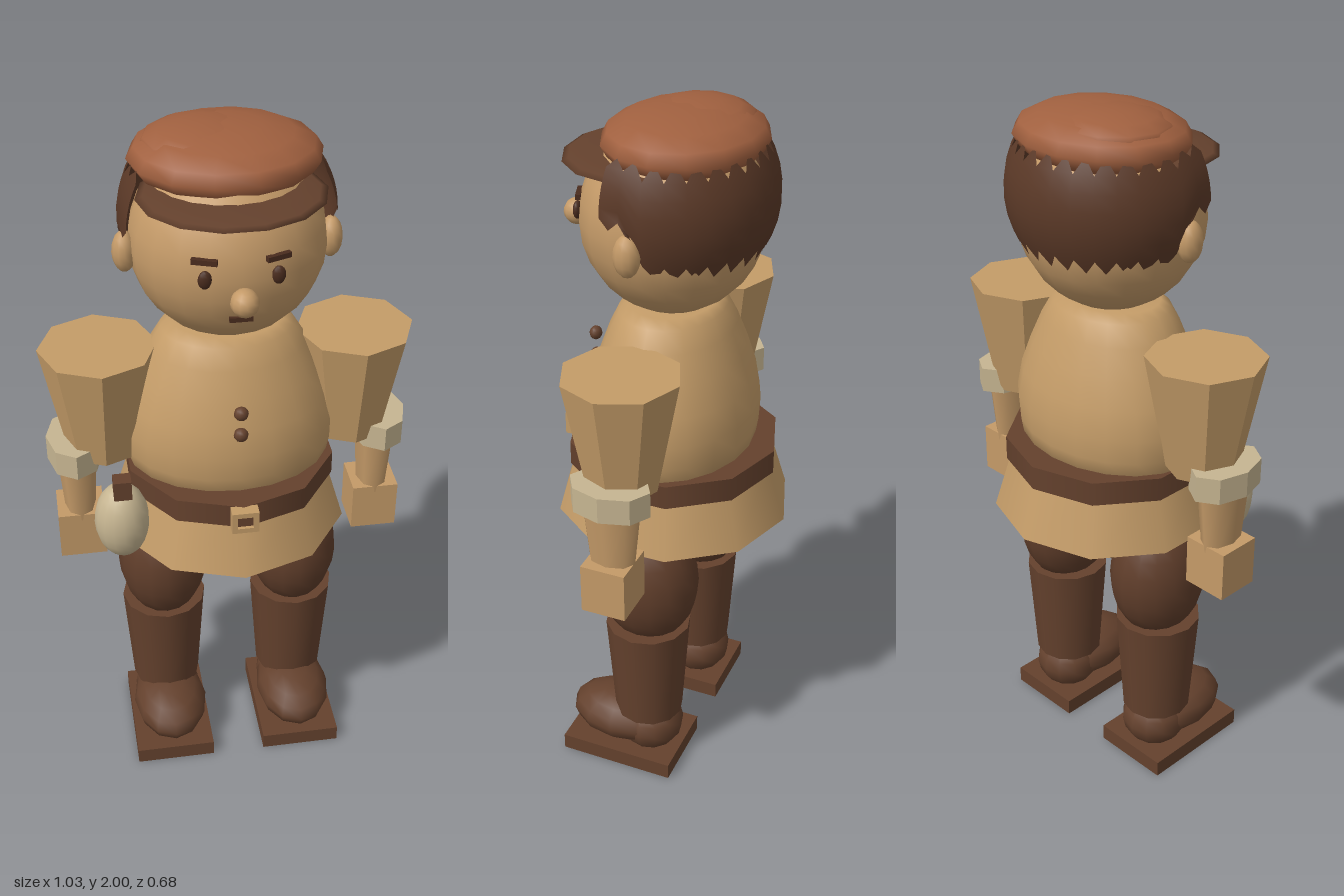
import * as THREE from 'three';

const mat = (name, color) => Object.assign(new THREE.MeshStandardMaterial({ color }), { name });

export function createModel() {
  const tan = mat('tan cloth', 0xc49c68);
  const skin = mat('skin', 0xc49a68);
  const leather = mat('brown leather', 0x64412d);
  const trouser = mat('trouser brown', 0x5f3d2a);
  const hairMat = mat('hair brown', 0x5b3927);
  const rust = mat('cap rust', 0xa0603f);
  const linen = mat('pale linen', 0xc6b591);
  const dark = mat('face dark', 0x4a2c1e);
  hairMat.side = THREE.DoubleSide;

  const group = new THREE.Group();
  group.name = 'figure';

  const add = (name, geo, material, x = 0, y = 0, z = 0) => {
    const mesh = new THREE.Mesh(geo, material);
    mesh.name = name;
    mesh.position.set(x, y, z);
    group.add(mesh);
    return mesh;
  };
  const ball = (rx, ry, rz, w = 16, h = 12) => new THREE.SphereGeometry(1, w, h).scale(rx, ry, rz);
  const box = (w, h, d) => new THREE.BoxGeometry(w, h, d);
  // faceted geometry with one normal per face
  const facet = (geo) => {
    const g = geo.toNonIndexed();
    g.computeVertexNormals();
    return g;
  };

  // Legs and boots
  for (const s of [1, -1]) {
    const side = s > 0 ? 'left' : 'right';
    add(side + 'Sole', box(0.237, 0.05, 0.35), leather, s * 0.198, 0.025, 0.063);
    add(side + 'Foot', ball(0.113, 0.08, 0.165, 12, 8), leather, s * 0.197, 0.118, 0.085);
    add(side + 'Heel', ball(0.1, 0.09, 0.1, 12, 8), leather, s * 0.197, 0.11, -0.005);
    add(side + 'BootShaft', new THREE.CylinderGeometry(0.125, 0.102, 0.33, 12), leather, s * 0.197, 0.335, 0);
    add(side + 'Thigh', ball(0.132, 0.2, 0.15), trouser, s * 0.197, 0.65, 0);
  }
  add('hips', ball(0.29, 0.165, 0.195), trouser, 0, 0.82, 0);

  // Tunic: barrel torso and flared skirt
  const torso = [[0, 1.47], [0.15, 1.465], [0.182, 1.445], [0.215, 1.39], [0.252, 1.31],
    [0.283, 1.23], [0.3, 1.15], [0.295, 1.08], [0.28, 1.0], [0, 1.0]]
    .reverse().map(([r, y]) => new THREE.Vector2(r, y));
  add('tunic', new THREE.LatheGeometry(torso, 20).scale(1, 1, 0.79), tan);
  add('tunicSkirt', new THREE.CylinderGeometry(0.285, 0.34, 0.18, 10), tan, 0, 0.91, 0);
  add('belt', new THREE.CylinderGeometry(0.302, 0.302, 0.07, 10), leather, 0, 1.005, 0);

  // Buckle and buttons
  const frame = new THREE.Shape();
  frame.moveTo(-0.037, -0.033).lineTo(0.037, -0.033).lineTo(0.037, 0.033).lineTo(-0.037, 0.033);
  const gap = new THREE.Path();
  gap.moveTo(-0.022, -0.018).lineTo(-0.022, 0.018).lineTo(0.022, 0.018).lineTo(0.022, -0.018);
  frame.holes.push(gap);
  add('buckle', new THREE.ExtrudeGeometry(frame, { depth: 0.035, bevelEnabled: false }), tan, 0, 1.007, 0.295);
  add('bucklePlate', box(0.046, 0.038, 0.02), leather, 0, 1.007, 0.31);
  for (const y of [1.305, 1.237]) add('button', ball(0.02, 0.02, 0.018, 10, 8), leather, 0, y, 0.24);

  // Arms
  for (const s of [1, -1]) {
    const side = s > 0 ? 'left' : 'right';
    add(side + 'Sleeve', facet(new THREE.CylinderGeometry(0.163, 0.1, 0.33, 8)), tan, s * 0.353, 1.235, 0);
    add(side + 'Cuff', facet(new THREE.CylinderGeometry(0.115, 0.115, 0.075, 8).scale(0.68, 1, 1)), linen, s * 0.434, 1.08, 0);
    add(side + 'Forearm', new THREE.CylinderGeometry(0.086, 0.065, 0.2, 8).scale(0.66, 1, 1), skin, s * 0.43, 0.955, 0);
    add(side + 'Hand', box(0.133, 0.145, 0.128), skin, s * 0.431, 0.803, 0);
  }

  // Pouch on the belt
  add('pouch', ball(0.078, 0.12, 0.075), linen, -0.32, 0.91, 0.14);
  add('pouchTie', box(0.05, 0.06, 0.045), leather, -0.317, 1.04, 0.163);

  // Head
  add('head', ball(0.26, 0.26, 0.25, 20, 14), skin, 0, 1.7, 0);
  add('nose', ball(0.037, 0.037, 0.038, 12, 10), skin, 0, 1.665, 0.283);
  add('mouth', box(0.06, 0.013, 0.014), dark, 0, 1.588, 0.228);
  for (const s of [1, -1]) {
    const side = s > 0 ? 'left' : 'right';
    add(side + 'Ear', ball(0.032, 0.057, 0.037, 12, 8), skin, s * 0.27, 1.687, 0.015);
    add(side + 'Eye', ball(0.018, 0.025, 0.012, 10, 8), dark, s * 0.092, 1.71, 0.236);
    const brow = add(side + 'Eyebrow', box(0.066, 0.014, 0.014), dark, s * 0.092, 1.757, 0.23);
    brow.rotation.y = s * 0.35;
  }

  // Hair: shell round the back, reaching lower behind the ears
  const hair = new THREE.SphereGeometry(1, 18, 7, Math.PI - 0.33, Math.PI + 0.66);
  const p = hair.attributes.position, uv = hair.attributes.uv;
  for (let i = 0; i < p.count; i++) {
    const a = Math.PI - 0.33 + uv.getX(i) * (Math.PI + 0.66);
    const end = Math.sin(a) > -0.02 ? 1.64 : 2.13;
    const t = 1.0 + (1 - uv.getY(i)) * (end - 1.0);
    p.setXYZ(i, -0.283 * Math.cos(a) * Math.sin(t), 0.283 * Math.cos(t), 0.28 * Math.sin(a) * Math.sin(t));
  }
  hair.computeVertexNormals();
  add('hair', hair, hairMat, 0, 1.77, 0);

  // Flat cap with visor
  add('capCrown', ball(0.252, 0.08, 0.215, 14, 8), rust, 0, 1.918, -0.033);
  add('capTop', ball(0.17, 0.055, 0.157, 12, 8), rust, -0.05, 1.945, -0.045);
  add('capVisor', ball(0.243, 0.02, 0.213, 14, 8), leather, 0, 1.86, 0.08);

  return group;
}
